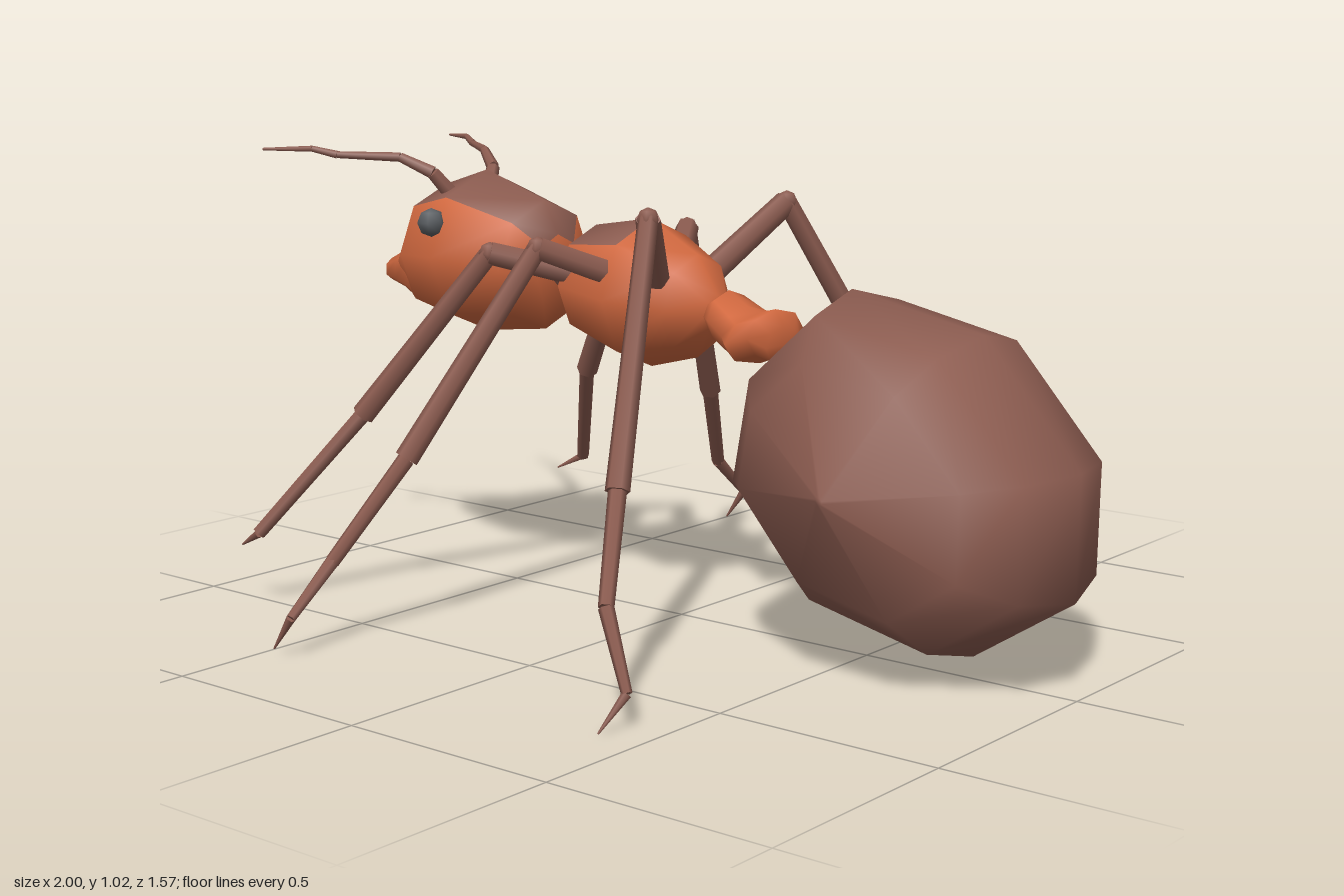
import * as THREE from 'three';

const mat = (color) => new THREE.MeshStandardMaterial({ color });
const ORANGE = mat(0xd0683f), BROWN = mat(0x8c5c50), GREY = mat(0x5c6064);

function add(parent, name, geometry, material) {
  const mesh = new THREE.Mesh(geometry, material);
  mesh.name = name;
  parent.add(mesh);
  return mesh;
}

// Closed skin over rings of points; isPlate(i, j) puts a face in material group 1
function skin(rings, isPlate = () => false) {
  const n = rings[0].length, last = rings.length - 1;
  const points = rings.flat();
  const faces = [[], []];
  for (let i = 0; i < last; i++) {
    for (let j = 0; j < n; j++) {
      const a = i * n + j, b = i * n + (j + 1) % n;
      faces[isPlate(i, j) ? 1 : 0].push(a, b, a + n, b, b + n, a + n);
    }
  }
  // end caps
  for (const i of [0, last]) {
    const c = rings[i].reduce((s, p) => s.add(p), new THREE.Vector3()).divideScalar(n);
    points.push(c);
    for (let j = 0; j < n; j++) {
      const a = i * n + j, b = i * n + (j + 1) % n;
      faces[0].push(points.length - 1, ...(i === 0 ? [b, a] : [a, b]));
    }
  }
  const g = new THREE.BufferGeometry().setFromPoints(points);
  g.setIndex(faces.flat());
  g.addGroup(0, faces[0].length, 0);
  g.addGroup(faces[0].length, faces[1].length, 1);
  g.computeVertexNormals();
  return g;
}

// Body sections along x: [x, top, bottom, half width, z centre]
function sections(rows, sides = 8) {
  return rows.map(([x, top, bottom, w, z = 0]) =>
    Array.from({ length: sides }, (_, j) => {
      const a = (j / sides) * Math.PI * 2;
      return new THREE.Vector3(x, (top + bottom) / 2 + (top - bottom) / 2 * Math.cos(a), z + w * Math.sin(a));
    }));
}

// Chain of tapered rods: radii holds [start, end] per segment
function limb(name, pts, radii, side) {
  const group = new THREE.Group();
  group.name = name;
  const v = pts.map(([x, y, z]) => new THREE.Vector3(x, y, z * side));
  radii.forEach(([r0, r1], i) => {
    const d = v[i + 1].clone().sub(v[i]);
    const rod = add(group, 'segment', new THREE.CylinderGeometry(r1, r0, d.length(), 6), BROWN);
    rod.position.copy(v[i]).addScaledVector(d, 0.5);
    rod.quaternion.setFromUnitVectors(new THREE.Vector3(0, 1, 0), d.normalize());
  });
  return group;
}

export function createModel() {
  const model = new THREE.Group();
  model.name = 'ant';
  const skins = [ORANGE, BROWN];

  // Head with a dark crown
  add(model, 'head', skin(sections([
    [-0.8, 0.79, 0.69, 0.07],
    [-0.77, 0.835, 0.66, 0.105],
    [-0.71, 0.925, 0.62, 0.155],
    [-0.58, 0.965, 0.59, 0.19],
    [-0.4, 0.905, 0.61, 0.155],
    [-0.36, 0.83, 0.66, 0.075],
  ]), (i, j) => j === 0 || j === 7), skins);

  // Thorax, dark over its front top
  add(model, 'thorax', skin(sections([
    [-0.31, 0.77, 0.66, 0.055],
    [-0.245, 0.86, 0.61, 0.13],
    [-0.085, 0.885, 0.557, 0.17],
    [0.045, 0.815, 0.59, 0.115],
    [0.1, 0.73, 0.65, 0.045],
  ]), (i, j) => i < 2 && (j === 0 || j === 7)), skins);

  const neck = add(model, 'neck', new THREE.SphereGeometry(1, 8, 6), BROWN);
  neck.position.set(-0.33, 0.755, 0);
  neck.scale.set(0.035, 0.05, 0.045);

  // Waist node
  add(model, 'waist', skin(sections([
    [0.09, 0.72, 0.66, 0.04],
    [0.13, 0.745, 0.63, 0.075],
    [0.18, 0.715, 0.605, 0.09],
    [0.215, 0.705, 0.595, 0.125],
    [0.255, 0.715, 0.61, 0.1],
    [0.275, 0.68, 0.6, 0.06],
  ])), ORANGE);

  // Abdomen: one tilted octagon shrinking towards both sides
  const outline = [[-0.16, 0.365], [-0.345, 0.2], [-0.39, -0.04], [-0.17, -0.29],
    [0.15, -0.36], [0.38, -0.21], [0.385, 0.05], [0.16, 0.3]];
  const slices = [[-0.335, 0.02], [-0.245, 0.68], [-0.15, 0.9], [0, 1], [0.15, 0.9], [0.245, 0.68], [0.335, 0.02]];
  add(model, 'abdomen', skin(slices.map(([z, s]) =>
    outline.map(([x, y]) => new THREE.Vector3(0.61 + x * s, 0.41 + y * s, z)))), BROWN);

  const legs = {
    frontLeg: [[-0.22, 0.76, 0.09], [-0.35, 0.81, 0.235], [-0.61, 0.44, 0.38], [-0.775, 0.175, 0.55], [-0.85, 0.135, 0.535]],
    middleLeg: [[-0.1, 0.77, 0.11], [-0.19, 0.835, 0.255], [-0.33, 0.4, 0.52], [-0.415, 0.19, 0.66], [-0.42, 0.09, 0.775], [-0.475, 0.015, 0.775]],
    hindLeg: [[0.01, 0.77, 0.1], [0.105, 0.915, 0.24], [0.25, 0.41, 0.51], [0.34, 0.22, 0.65], [0.425, 0.075, 0.69], [0.4, 0.005, 0.745]],
  };
  for (const side of [1, -1]) {
    // Eyes
    const eye = add(model, 'eye', new THREE.SphereGeometry(0.033, 6, 4), GREY);
    eye.position.set(-0.595, 0.855, 0.168 * side);

    // Jaws closing towards the middle
    add(model, 'mandible', skin(sections([
      [-0.89, 0.72, 0.71, 0.004, 0.02 * side],
      [-0.865, 0.74, 0.69, 0.02, 0.035 * side],
      [-0.8, 0.765, 0.68, 0.036, 0.055 * side],
      [-0.73, 0.8, 0.655, 0.045, 0.075 * side],
    ], 6)), ORANGE);

    model.add(limb('antenna', [[-0.63, 0.9, 0.055], [-0.655, 0.96, 0.1], [-0.72, 0.995, 0.14],
      [-0.84, 1.0, 0.225], [-0.89, 1.013, 0.255], [-1, 1.01, 0.308]],
    [[0.02, 0.016], [0.015, 0.011], [0.011, 0.008], [0.009, 0.007], [0.007, 0.003]], side));

    for (const [name, pts] of Object.entries(legs)) {
      const radii = [[0.03, 0.027], [0.022, 0.026], [0.019, 0.016], [0.016, 0.011], [0.01, 0.002]];
      if (pts.length === 5) radii.splice(3, 1);
      model.add(limb(name, pts, radii, side));
      // Rounded knee
      const knee = add(model, name + 'Knee', new THREE.SphereGeometry(0.025, 6, 4), BROWN);
      knee.position.set(pts[1][0], pts[1][1], pts[1][2] * side);
    }
  }
  return model;
}
